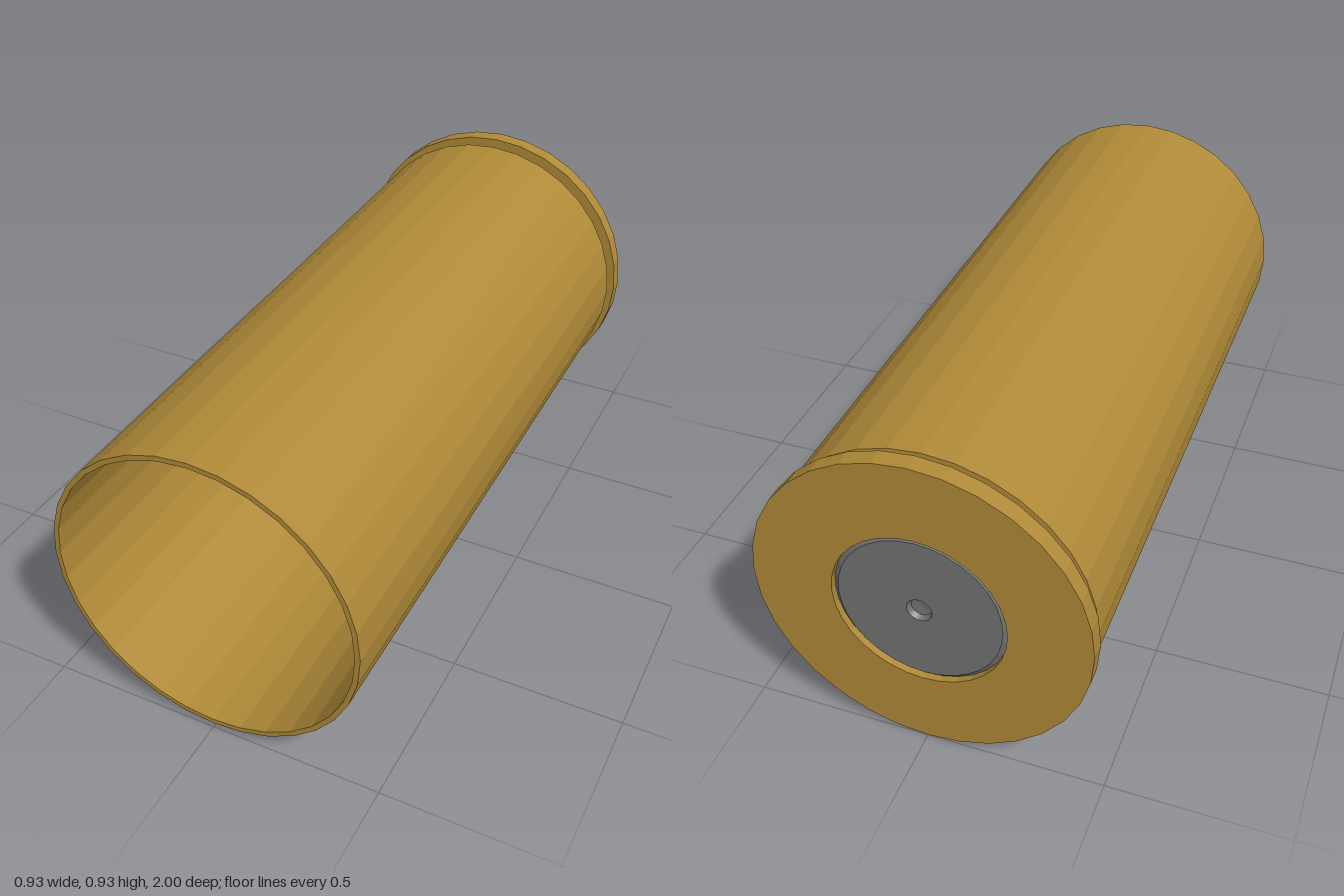
import * as THREE from 'three';

const SIDES = 32;
const RIM_RADIUS = 0.465;

// Revolves [radius, z] points around the z axis; points run from the back, around the outside, to the front.
function revolve(name, points, color) {
  const profile = points.map(([r, z]) => new THREE.Vector2(r, z));
  const geometry = new THREE.LatheGeometry(profile, SIDES);
  geometry.rotateX(Math.PI / 2);
  const material = new THREE.MeshStandardMaterial({ color, flatShading: true });
  const mesh = new THREE.Mesh(geometry, material);
  mesh.name = name;
  mesh.position.y = RIM_RADIUS;
  return mesh;
}

export function createModel() {
  const model = new THREE.Group();
  model.name = 'emptyCasing';

  // Casing: primer pocket, rim, extractor groove, thin wall, open mouth and inner floor
  model.add(revolve('casing', [
    [0, -0.93], [0.24, -0.93], [0.24, -1],
    [RIM_RADIUS, -1], [RIM_RADIUS, -0.95],
    [0.39, -0.95], [0.39, -0.92],
    [0.45, -0.92], [0.45, 1],
    [0.435, 1], [0.435, -0.88], [0, -0.88],
  ], 0xb08a38));

  // Primer: slightly sunken disc with a bevelled edge and a small firing dent
  model.add(revolve('primer', [
    [0, -0.975], [0.028, -0.978], [0.035, -0.992],
    [0.225, -0.992], [0.24, -0.98], [0.24, -0.93],
  ], 0x727272));

  return model;
}
